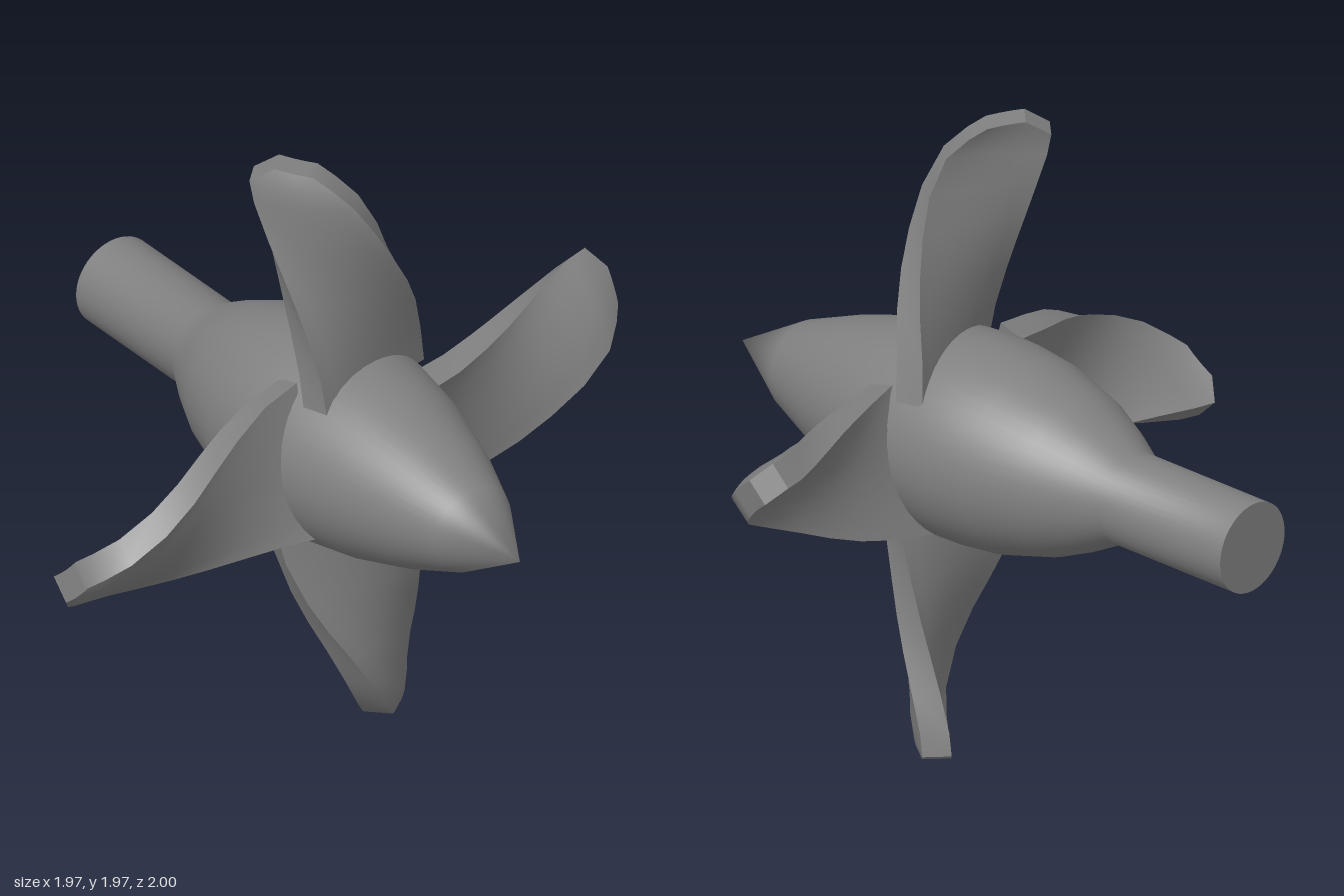
import * as THREE from 'three';
import { toCreasedNormals } from 'three/addons/utils/BufferGeometryUtils.js';

const CENTRE_Y = 0.988;
const HALF_THICKNESS = 0.043;
const CHORD_STEPS = 8;

// Blade stations: [lower edge x, y, z, upper edge x, y, z, bulge]
const STATIONS = [
  [0.19, -0.26, 0.115, 0.215, 0.195, 0.255, 0.0],
  [0.32, -0.235, 0.135, 0.32, 0.195, 0.23, 0.005],
  [0.45, -0.195, 0.175, 0.45, 0.205, 0.19, 0.015],
  [0.55, -0.15, 0.207, 0.55, 0.215, 0.155, 0.02],
  [0.65, -0.095, 0.235, 0.65, 0.225, 0.115, 0.025],
  [0.76, -0.035, 0.25, 0.76, 0.235, 0.07, 0.028],
  [0.87, 0.03, 0.232, 0.87, 0.245, 0.028, 0.025],
  [0.93, 0.08, 0.185, 0.94, 0.25, 0.014, 0.018],
  [0.965, 0.115, 0.145, 0.985, 0.195, 0.065, 0.004],
];

// Twisted, cambered plate pointing along +x, made from closed cross-sections
function bladeGeometry() {
  const n = CHORD_STEPS + 1;
  const ring = 2 * n;
  const positions = [];
  const index = [];
  const quad = (a, b, c, d) => index.push(a, b, c, a, c, d);

  for (const [x0, y0, z0, x1, y1, z1, bulge] of STATIONS) {
    const chord = new THREE.Vector2(y1 - y0, z1 - z0).normalize();
    const ny = -chord.y, nz = chord.x;
    const point = (k, side) => {
      const t = k / CHORD_STEPS;
      const offset = 4 * bulge * t * (1 - t) + side * HALF_THICKNESS;
      positions.push(x0 + (x1 - x0) * t, y0 + (y1 - y0) * t + ny * offset, z0 + (z1 - z0) * t + nz * offset);
    };
    for (let k = 0; k < n; k++) point(k, 1);
    for (let k = n - 1; k >= 0; k--) point(k, -1);
  }

  // Skin between neighbouring sections
  for (let i = 0; i < STATIONS.length - 1; i++) {
    for (let j = 0; j < ring; j++) {
      const a = i * ring + j, b = i * ring + (j + 1) % ring;
      quad(a, a + ring, b + ring, b);
    }
  }
  // Root and tip caps
  const tip = (STATIONS.length - 1) * ring;
  for (let k = 0; k < CHORD_STEPS; k++) {
    const f0 = k, f1 = k + 1, b0 = ring - 1 - k, b1 = ring - 2 - k;
    quad(f0, f1, b1, b0);
    quad(tip + f0, tip + b0, tip + b1, tip + f1);
  }

  const geometry = new THREE.BufferGeometry();
  geometry.setAttribute('position', new THREE.Float32BufferAttribute(positions, 3));
  geometry.setIndex(index);
  return toCreasedNormals(geometry, 0.65);
}

// Spindle-shaped hub with its shaft, from the rear end to a softly shaded nose
function hubGeometry() {
  const profile = [
    [0.142, -1], [0.142, -0.525], [0.2, -0.42], [0.25, -0.31], [0.3, -0.13],
    [0.314, 0], [0.316, 0.08], [0.307, 0.2], [0.274, 0.38], [0.212, 0.585], [0.138, 0.77], [0, 1],
  ].map(([r, z]) => new THREE.Vector2(r, z));
  const geometry = new THREE.LatheGeometry(profile, 48);
  geometry.rotateX(Math.PI / 2);
  return toCreasedNormals(geometry, Math.PI);
}

export function createModel() {
  const model = new THREE.Group();
  model.name = 'propeller';
  const material = new THREE.MeshStandardMaterial({ color: 0x808080 });

  const add = (name, geometry, z = 0) => {
    const mesh = new THREE.Mesh(geometry, material);
    mesh.name = name;
    mesh.position.set(0, CENTRE_Y, z);
    model.add(mesh);
    return mesh;
  };

  add('hubAndShaft', hubGeometry());
  add('shaftEnd', new THREE.CircleGeometry(0.142, 48), -1).rotation.y = Math.PI;

  // Four equal blades around the hub
  const blade = bladeGeometry();
  for (let i = 0; i < 4; i++) add(`blade${i + 1}`, blade).rotation.z = i * Math.PI / 2;
  return model;
}
